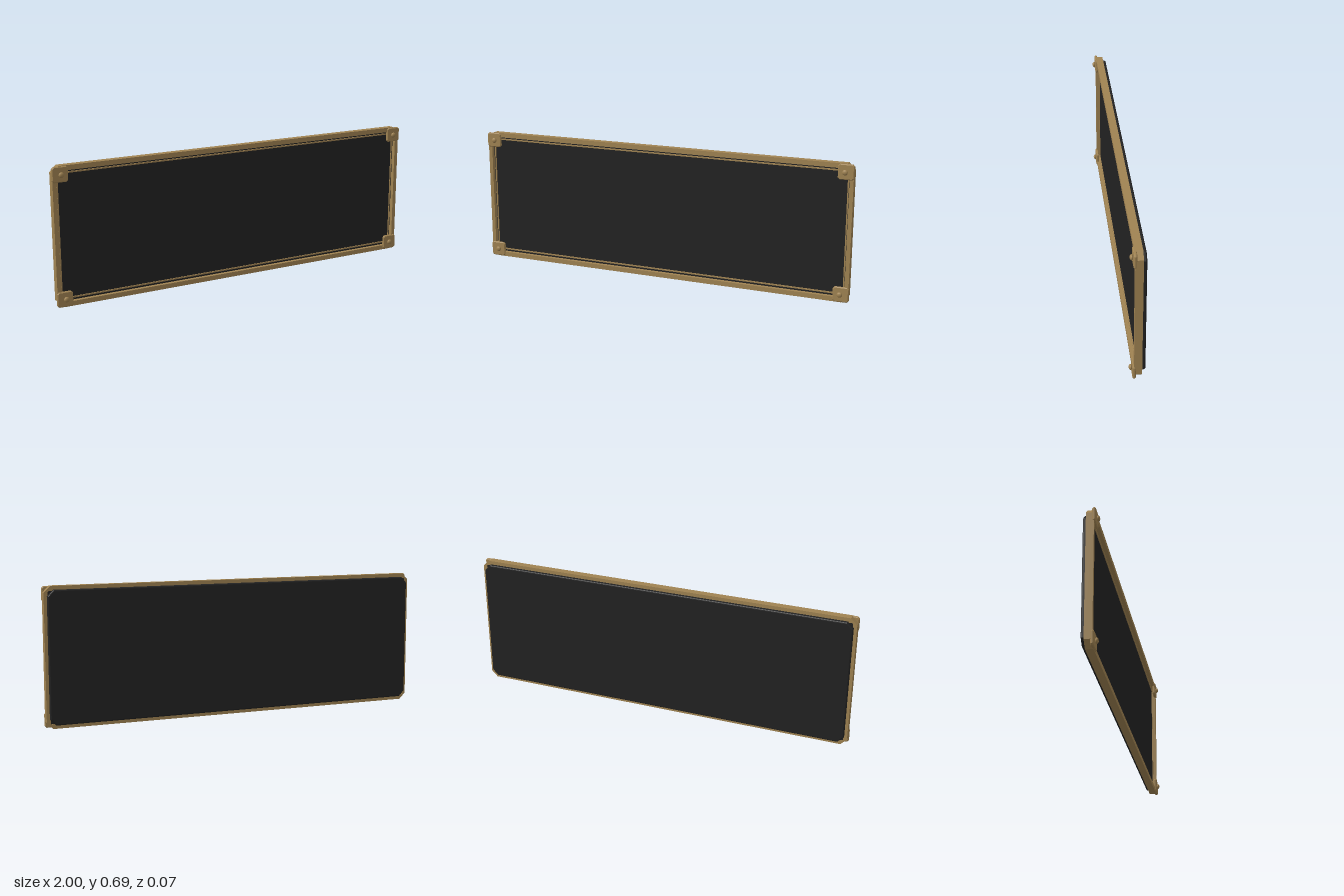
import * as THREE from 'three';

const CY = 0.345; // height of the sign's centre

// Rectangle outline centred on the origin with cut corners
function cutRect(hw, hh, c, Type = THREE.Shape) {
  const points = [
    [hw - c, -hh], [hw, -hh + c], [hw, hh - c], [hw - c, hh],
    [-hw + c, hh], [-hw, hh - c], [-hw, -hh + c], [-hw + c, -hh],
  ];
  return new Type(points.map(([x, y]) => new THREE.Vector2(x, y)));
}

// Extrusion from z0 to z1, with an optional edge bevel that stays inside the outline
function slab(shape, z0, z1, bevel = 0, segments = 1) {
  const geometry = new THREE.ExtrudeGeometry(shape, {
    depth: z1 - z0 - 2 * bevel,
    bevelEnabled: bevel > 0,
    bevelThickness: bevel,
    bevelSize: bevel,
    bevelOffset: -bevel,
    bevelSegments: segments,
  });
  return geometry.translate(0, 0, z0 + bevel);
}

function ring(hw, hh, cut, innerW, innerH, z0, z1) {
  const shape = cutRect(hw, hh, cut);
  shape.holes.push(cutRect(innerW, innerH, 0.004, THREE.Path));
  return slab(shape, z0, z1);
}

export function createModel() {
  const brass = new THREE.MeshStandardMaterial({ color: 0xa08352 });
  brass.name = 'brass';
  const black = new THREE.MeshStandardMaterial({ color: 0x222222 });
  black.name = 'black';

  const model = new THREE.Group();
  model.name = 'framedPanel';
  const add = (name, geometry, material, x = 0, y = CY, z = 0) => {
    const mesh = new THREE.Mesh(geometry, material);
    mesh.name = name;
    mesh.position.set(x, y, z);
    model.add(mesh);
    return mesh;
  };

  // Dark panel: cushioned back and recessed front face
  add('backPanel', slab(cutRect(0.982, 0.327, 0.03), -0.037, -0.014, 0.007, 3), black);
  add('frontPanel', slab(cutRect(0.98, 0.325, 0.01), -0.018, -0.004), black);

  // Outer frame and the thin trim inside it
  add('frame', ring(0.997, 0.345, 0.032, 0.977, 0.321, -0.02, 0.017), brass);
  add('innerTrim', ring(0.971, 0.311, 0.004, 0.965, 0.304, -0.012, 0.001), brass);

  // Bevelled corner plates, each with a domed rivet
  const plate = slab(cutRect(0.04, 0.038, 0.009), 0.008, 0.023, 0.004);
  const rivet = new THREE.SphereGeometry(0.0135, 16, 12).scale(1, 1, 0.6);
  for (const sx of [-1, 1]) {
    for (const sy of [-1, 1]) {
      add('cornerPlate', plate, brass, sx * 0.96, CY + sy * 0.305);
      add('rivet', rivet, brass, sx * 0.956, CY + sy * 0.304, 0.029);
    }
  }
  return model;
}
